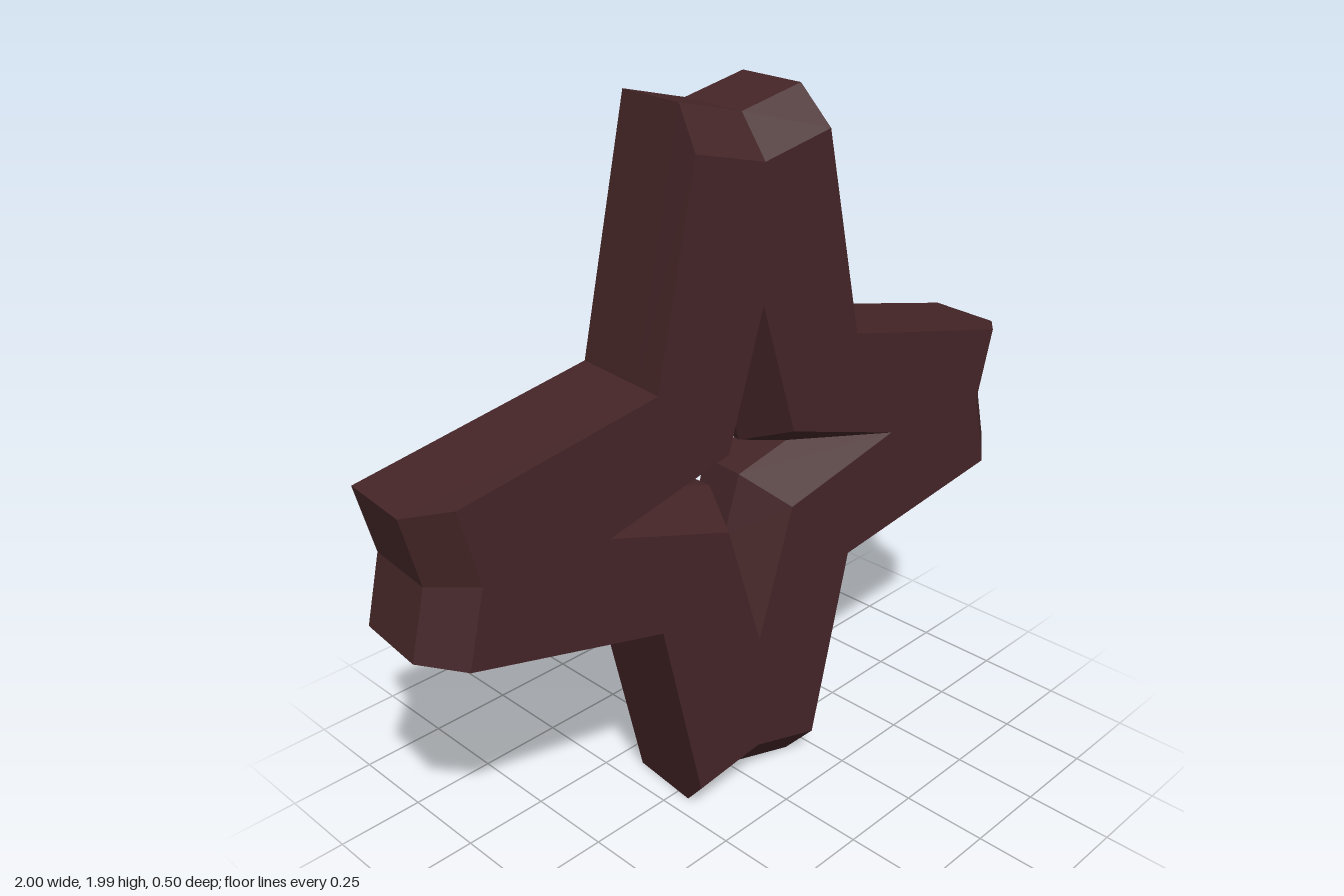
import * as THREE from 'three';

// Repeat a few [x, y] points of the right-hand arm four times around the centre
function fourfold(points) {
  const ring = [];
  for (let k = 0; k < 4; k++) {
    const c = Math.round(Math.cos(k * Math.PI / 2)), s = Math.round(Math.sin(k * Math.PI / 2));
    for (const [x, y] of points) ring.push(new THREE.Vector2(x * c - y * s, x * s + y * c));
  }
  return ring;
}

// Notched arm outline and four-pointed star outline, both counter-clockwise
const armRing = (tip, half, notch) => fourfold([[tip, -half], [notch, 0], [tip, half], [0.333, 0.333]]);
const starRing = (tip, inner) => fourfold([[tip, 0], [inner, inner]]);

// Walls joining consecutive rings, listed from front to back
function loft(layers, inward) {
  const pos = [];
  for (let l = 0; l < layers.length - 1; l++) {
    const f = layers[l], b = layers[l + 1], n = f.ring.length;
    for (let i = 0; i < n; i++) {
      const j = (i + 1) % n;
      const p = [[f, i], [b, i], [b, j], [f, j]].map(([r, k]) => [r.ring[k].x, r.ring[k].y, r.z]);
      if (inward) p.reverse();
      for (const k of [0, 1, 2, 0, 2, 3]) pos.push(...p[k]);
    }
  }
  const g = new THREE.BufferGeometry();
  g.setAttribute('position', new THREE.Float32BufferAttribute(pos, 3));
  g.computeVertexNormals();
  return g;
}

// Flat face with a star opening
function plate(outer, hole, z, back) {
  const shape = new THREE.Shape(outer);
  shape.holes.push(new THREE.Path(hole));
  const g = new THREE.ShapeGeometry(shape);
  if (back) g.rotateY(Math.PI); // the outline is mirror-symmetric
  g.translate(0, 0, z);
  return g;
}

export function createModel() {
  const model = new THREE.Group();
  model.name = 'fourArmedStar';
  const body = new THREE.Group();
  body.name = 'starBody';
  body.position.y = 0.995;
  body.rotation.y = -0.103; // slightly turned
  model.add(body);

  const darkMaroon = new THREE.MeshStandardMaterial({ color: 0x442527, flatShading: true });
  darkMaroon.name = 'darkMaroon';
  const add = (name, geometry) => {
    const mesh = new THREE.Mesh(geometry, darkMaroon);
    mesh.name = name;
    body.add(mesh);
  };

  const depth = 0.153;
  const frontOuter = armRing(0.895, 0.212, 0.845);
  const outer = armRing(0.995, 0.19, 0.95);
  const frontStar = starRing(0.487, 0.112);
  const waistStar = starRing(0.225, 0.052);
  const backStar = starRing(0.25, 0.058);

  // Outer walls with bevelled arm ends
  add('outerWalls', loft([
    { ring: frontOuter, z: depth },
    { ring: outer, z: 0.065 },
    { ring: outer, z: -depth },
  ], false));

  // Star-shaped opening, flared toward the front
  add('starOpening', loft([
    { ring: frontStar, z: depth },
    { ring: waistStar, z: 0 },
    { ring: backStar, z: -depth },
  ], true));

  add('frontFace', plate(frontOuter, frontStar, depth, false));
  add('backFace', plate(outer, backStar, -depth, true));
  return model;
}
